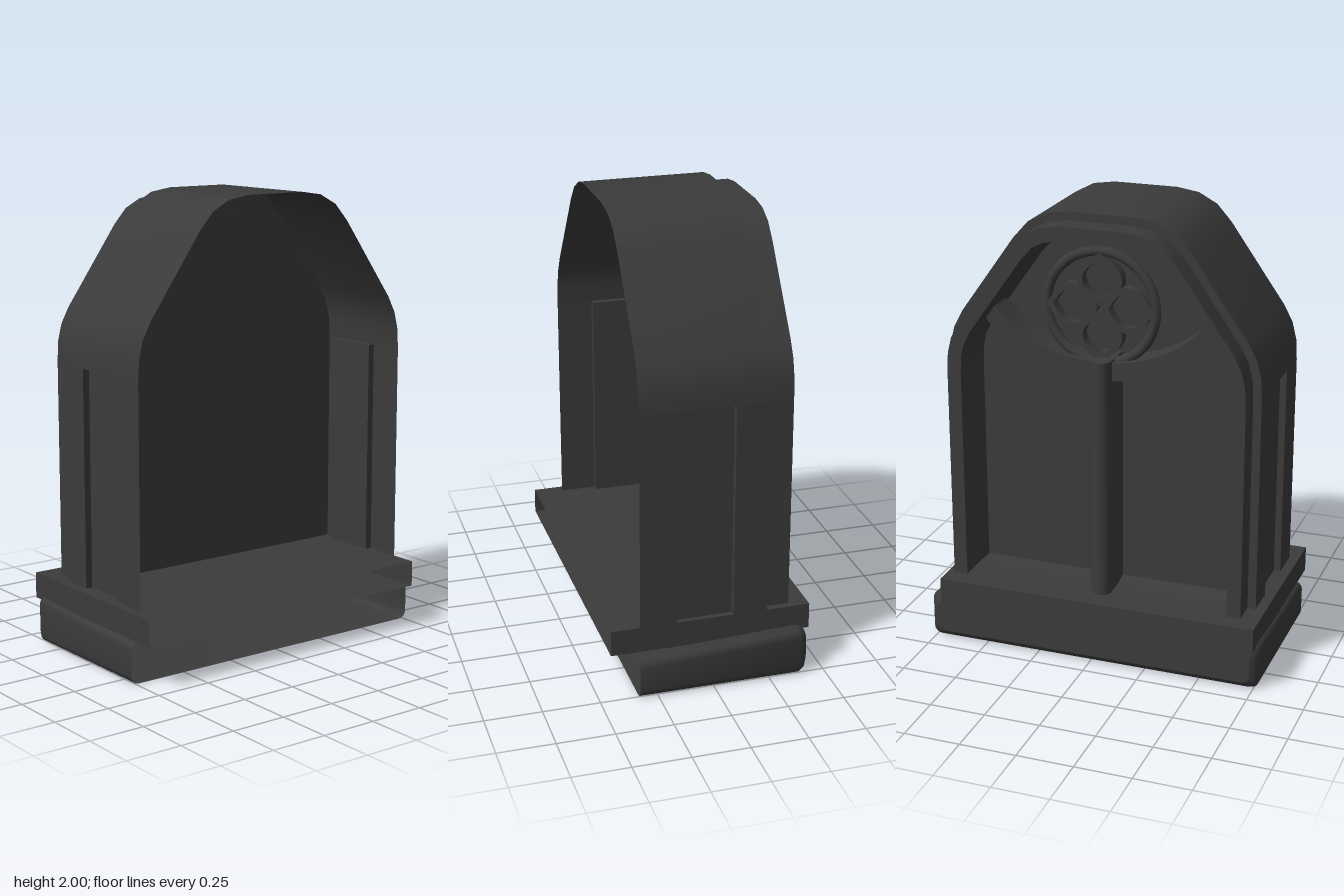
import * as THREE from 'three';
import { toCreasedNormals } from 'three/addons/utils/BufferGeometryUtils.js';

const material = new THREE.MeshStandardMaterial({ color: 0x3b3b3b, side: THREE.DoubleSide });

function add(parent, name, geometry, x = 0, y = 0, z = 0) {
  const mesh = new THREE.Mesh(geometry, material);
  mesh.name = name;
  mesh.position.set(x, y, z);
  parent.add(mesh);
  return mesh;
}

// Skin a row of cross-sections, each a list of [x, y, z] points
function loft(sections, closed = false) {
  const n = sections[0].length, index = [];
  for (let s = 0; s < sections.length - 1; s++) {
    for (let i = 0; i < (closed ? n : n - 1); i++) {
      const a = s * n + i, b = s * n + (i + 1) % n;
      index.push(a, b, a + n, b, b + n, a + n);
    }
  }
  const g = new THREE.BufferGeometry();
  g.setAttribute('position', new THREE.Float32BufferAttribute(sections.flat(2), 3));
  g.setIndex(index);
  return toCreasedNormals(g, 0.6);
}

// Flat face in the z-y plane at a given x
function face(points, x) {
  const g = new THREE.ShapeGeometry(new THREE.Shape(points.map(([z, y]) => new THREE.Vector2(-z, y))));
  return g.rotateY(Math.PI / 2).translate(x, 0, 0);
}

// Extrude a z-y shape along x, from x0 to x1
function slabOf(shape, x0, x1) {
  const g = new THREE.ExtrudeGeometry(shape, { depth: x1 - x0, bevelEnabled: false, curveSegments: 20 });
  return toCreasedNormals(g.rotateY(Math.PI / 2).translate(x0, 0, 0), 0.6);
}

// Half of the arch outline as [z, y], from the spring line to the crown
const half = [[0.71, 1.27], [0.705, 1.36], [0.685, 1.44], [0.645, 1.515], [0.397, 1.865],
  [0.33, 1.94], [0.245, 1.985], [0.145, 2]];
const mirrored = side => [...side, ...side.map(([z, y]) => [-z, y]).reverse()];

// Half outline moved inwards by d, standing on the height foot
function halfArch(d, foot) {
  const side = half.map((p, i) => {
    const a = i ? half[i - 1] : [0.71, 1], b = half[i + 1] || [0, 2];
    const u = new THREE.Vector2(p[0] - a[0], p[1] - a[1]).normalize();
    const v = new THREE.Vector2(b[0] - p[0], b[1] - p[1]).normalize();
    const k = d / (1 + u.dot(v));
    return [p[0] - (u.y + v.y) * k, p[1] + (u.x + v.x) * k];
  });
  return [[0.71 - d, foot], ...side];
}
const arch = (d, foot) => mirrored(halfArch(d, foot));
const at = (points, x) => points.map(([z, y]) => [x, y, z]);

// Rounded rectangle around the foot block, with a gently sloping top
function blockSection(x, d) {
  const top = 0.194 - x * 0.047 - d, w = 0.77 - d, r = 0.035, points = [];
  [[w - r, top - r], [r - w, top - r], [r - w, d + r], [w - r, d + r]].forEach(([z, y], c) => {
    for (let i = 0; i <= 4; i++) {
      const t = (c + i / 4) * Math.PI / 2;
      points.push([z + r * Math.cos(t), y + r * Math.sin(t)]);
    }
  });
  return points;
}

export function createModel() {
  const model = new THREE.Group();
  model.name = 'archedWindow';

  // Hollow foot block and ledge, both open at the +x end
  const base = new THREE.Group();
  base.name = 'base';
  model.add(base);
  const rounding = [[0.33, 0], [-0.385, 0], [-0.41, 0.012], [-0.425, 0.035]];
  add(base, 'footBlock', loft(rounding.map(([x, d]) => at(blockSection(x, d), x)), true));
  add(base, 'footBlockEnd', face(blockSection(-0.425, 0.035), -0.425));
  const ledge = [[0.755, 0.19], [0.755, 0.305], [-0.705, 0.305], [-0.705, 0.19]];
  add(base, 'ledge', loft([at(ledge, 0.44), at(ledge, -0.445)], true));
  add(base, 'ledgeEnd', face(ledge, -0.445));

  // Thin arched hood
  add(model, 'hood', loft([at(arch(0, 1.27), 0.313), at(arch(0, 1.27), -0.25)]));

  // Side walls, each with an upright recess
  const wall = [[-0.25, 0.71], [-0.1, 0.71], [-0.1, 0.68], [0.15, 0.68], [0.15, 0.71], [0.313, 0.71]];
  for (const s of [1, -1]) {
    const name = s > 0 ? 'left' : 'right';
    add(model, name + 'SideWall', loft([0.25, 1.27].map(y => wall.map(([x, z]) => [x, y, z * s]))));
    add(model, name + 'RecessTop', new THREE.PlaneGeometry(0.25, 0.03).rotateX(-Math.PI / 2), 0.025, 1.27, 0.695 * s);
  }

  // Stepped frame, its lightly splayed reveal and the flat ring at its back
  const steps = [[-0.25, 0], [-0.25, 0.037], [-0.36, 0.037], [-0.36, 0.1], [-0.24, 0.1], [-0.16, 0.12]];
  add(model, 'windowFrame', loft(steps.map(([x, d]) => at(arch(d, 0.25), x))));
  add(model, 'frameBack', loft([0, 0.1].map(d => at(arch(d, 0.25), -0.162))));
  add(model, 'sill', loft([[-0.36, 0.305], [-0.24, 0.308], [-0.16, 0.325]].map(([x, y]) => [[x, y, -0.61], [x, y, 0.61]])));

  // Back panel: cut corners below, following the opening above
  const edge = [[0.69, 0.08], [0.69, 1.28], [0.37, 1.75], ...halfArch(0.1, 0.25).slice(5)];
  add(model, 'backPanel', face(mirrored(edge), -0.155));

  // Tracery: mullion, two curved arms and a rosette
  const tracery = new THREE.Group();
  tracery.name = 'tracery';
  model.add(tracery);
  add(tracery, 'mullion', new THREE.BoxGeometry(0.15, 1.08, 0.09), -0.235, 0.845, 0.02);
  add(tracery, 'mullionFront', new THREE.CylinderGeometry(0.045, 0.045, 1.08, 16), -0.31, 0.845, 0.02);

  for (const s of [1, -1]) {
    const arm = new THREE.Shape();
    arm.moveTo(0, 1.29);
    arm.quadraticCurveTo(0.32 * s, 1.29, 0.51 * s, 1.51);
    arm.lineTo(0.47 * s, 1.57);
    arm.quadraticCurveTo(0.28 * s, 1.37, 0, 1.37);
    add(tracery, s > 0 ? 'leftArm' : 'rightArm', slabOf(arm, -0.3, -0.16));
  }

  const ring = new THREE.TorusGeometry(0.245, 0.022, 8, 40).rotateY(Math.PI / 2);
  add(tracery, 'rosetteRing', ring, -0.25, 1.6, 0);
  const lens = (path, low, high, r) => {
    path.moveTo(0, low);
    path.quadraticCurveTo(r, 0.12, 0, high);
    path.quadraticCurveTo(-r, 0.12, 0, low);
    return path;
  };
  for (let i = 0; i < 4; i++) {
    const petal = lens(new THREE.Shape(), 0.01, 0.24, 0.2);
    petal.holes.push(lens(new THREE.Path(), 0.04, 0.21, 0.155));
    const mesh = add(tracery, 'rosettePetal' + (i + 1), slabOf(petal, -0.27, -0.22), 0, 1.6, 0);
    mesh.rotation.x = i * Math.PI / 2;
  }
  return model;
}
